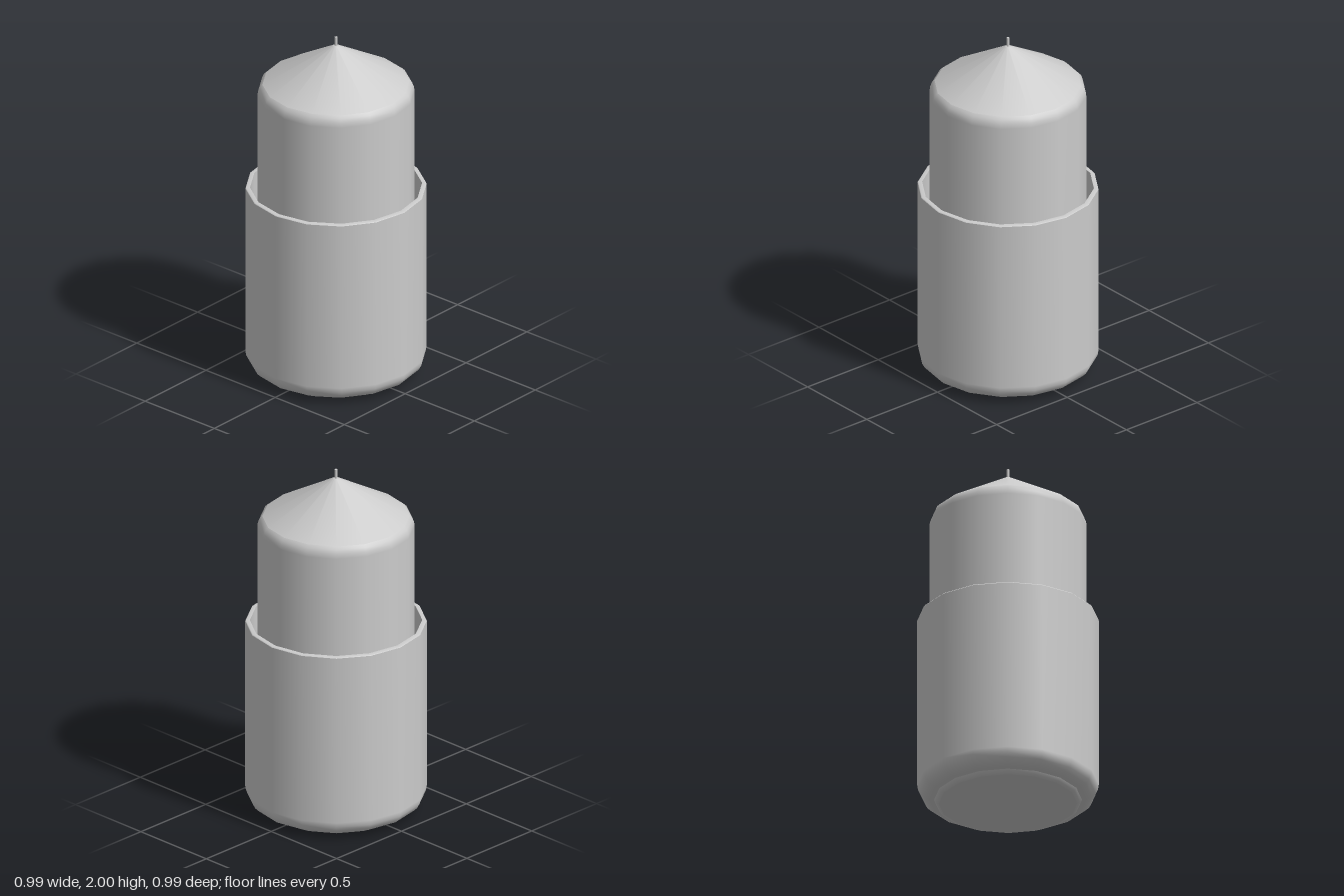
import * as THREE from 'three';

const SIDES = 16;
const material = new THREE.MeshStandardMaterial({ color: 0xcccccc });

// Lathe each smooth run on its own so the edges between runs stay sharp.
function turned(name, runs, sides = SIDES) {
  const group = new THREE.Group();
  group.name = name;
  for (const [part, points] of Object.entries(runs)) {
    const profile = points.map(([r, y]) => new THREE.Vector2(r, y));
    const mesh = new THREE.Mesh(new THREE.LatheGeometry(profile, sides), material);
    mesh.name = part;
    group.add(mesh);
  }
  return group;
}

// Quarter-ellipse profile points from angle a to b (degrees).
function arc(cx, cy, rx, ry, a, b, steps = 5) {
  return Array.from({ length: steps + 1 }, (_, i) => {
    const t = THREE.MathUtils.degToRad(a + ((b - a) * i) / steps);
    return [cx + rx * Math.cos(t), cy + ry * Math.sin(t)];
  });
}

export function createModel() {
  const model = new THREE.Group();
  model.name = 'candleInJar';

  // Open jar with a rounded base and a low foot
  model.add(turned('jar', {
    jarBase: [[0, 0], [0.376, 0]],
    jarFoot: [[0.376, 0], [0.392, 0.006], [0.402, 0.022]],
    jarOuterWall: [...arc(0.402, 0.112, 0.091, 0.09, -90, 0), [0.493, 1.095]],
    jarRim: [[0.493, 1.095], [0.489, 1.1], [0.468, 1.1]],
    jarInnerWall: [[0.468, 1.1], ...arc(0.44, 0.1, 0.028, 0.05, 0, -90)],
    jarFloor: [[0.44, 0.05], [0, 0.05]],
  }));

  // Candle with a rounded shoulder and a conical top
  model.add(turned('candle', {
    candleBody: [[0.427, 0.05], [0.427, 1.66], [0.424, 1.685], [0.415, 1.708], [0.4, 1.722]],
    candleCone: [[0.4, 1.722], [0.016, 1.948]],
    candleTip: [[0.016, 1.948], [0, 1.951]],
  }));

  // Wick
  model.add(turned('wick', {
    wickSide: [[0.008, 1.94], [0.008, 2]],
    wickEnd: [[0.008, 2], [0, 2]],
  }, 12));

  return model;
}
